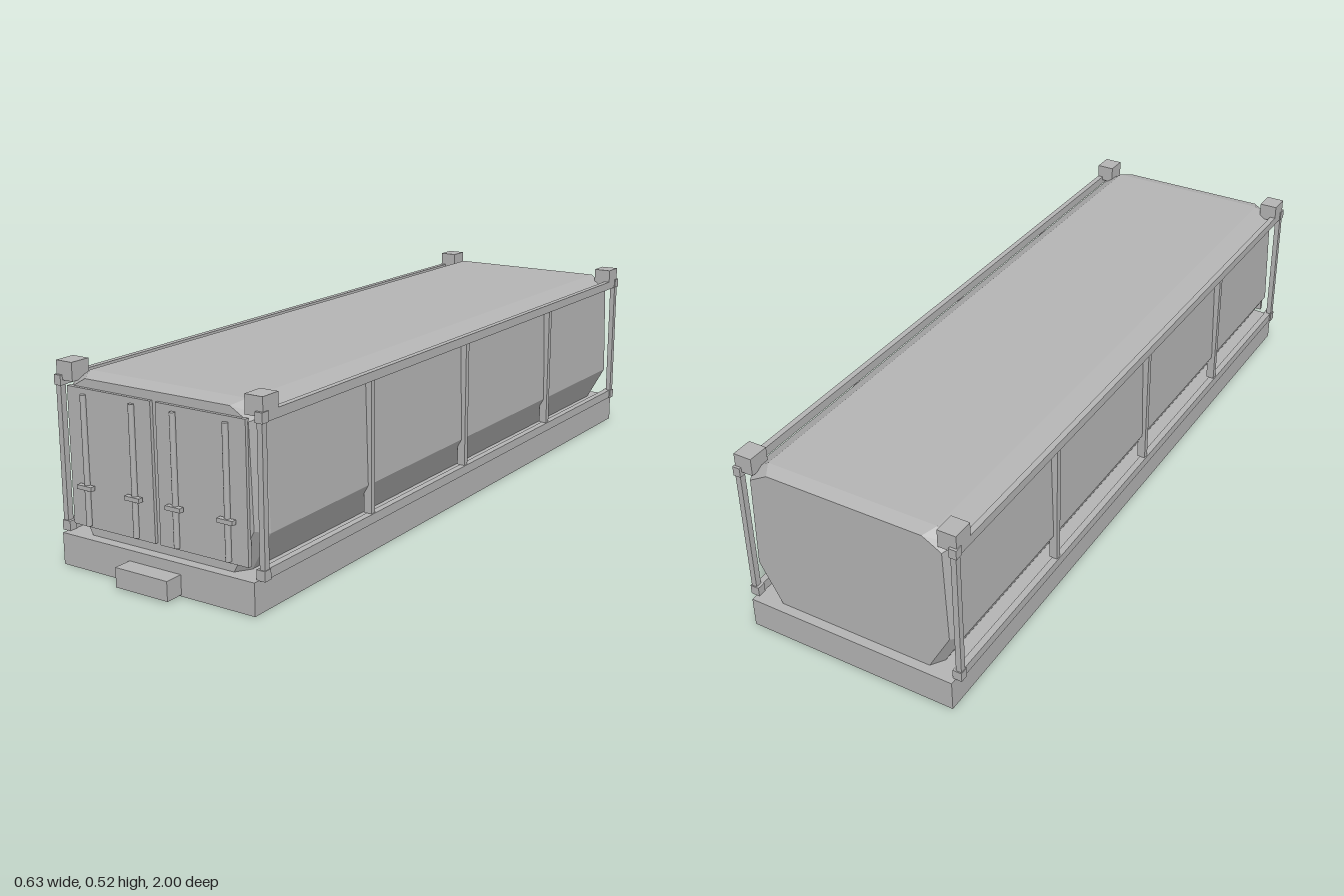
import * as THREE from 'three';

const grey = new THREE.MeshStandardMaterial({ color: 0xb3b3b3 });
grey.name = 'plain grey';

// Box given by its lower and upper limits on each axis
function block(parent, name, [x0, x1], [y0, y1], [z0, z1]) {
  const mesh = new THREE.Mesh(new THREE.BoxGeometry(x1 - x0, y1 - y0, z1 - z0), grey);
  mesh.position.set((x0 + x1) / 2, (y0 + y1) / 2, (z0 + z1) / 2);
  mesh.name = name;
  parent.add(mesh);
}

// The same box on both sides of x = 0
function pair(parent, name, [x0, x1], y, z) {
  block(parent, name + 'Left', [x0, x1], y, z);
  block(parent, name + 'Right', [-x1, -x0], y, z);
}

// Right half of an outline, from bottom to top, mirrored into a closed loop
function mirrorLoop(half) {
  return [...half, ...half.map(([x, y]) => [-x, y]).reverse()];
}

// Flat-faced solid running through loops placed along z, capped at both ends
function loft(sections) {
  const pos = [];
  const n = sections[0].loop.length;
  const put = (s, i) => pos.push(...s.loop[i % n], s.z);
  for (let k = 0; k < sections.length - 1; k++) {
    const a = sections[k], b = sections[k + 1];
    for (let i = 0; i < n; i++) {
      put(a, i); put(a, i + 1); put(b, i + 1);
      put(a, i); put(b, i + 1); put(b, i);
    }
  }
  const back = sections[0], front = sections[sections.length - 1];
  for (let i = 1; i < n - 1; i++) {
    put(back, 0); put(back, i + 1); put(back, i);
    put(front, 0); put(front, i); put(front, i + 1);
  }
  const geometry = new THREE.BufferGeometry();
  geometry.setAttribute('position', new THREE.Float32BufferAttribute(pos, 3));
  geometry.computeVertexNormals();
  return geometry;
}

export function createModel() {
  const model = new THREE.Group();
  model.name = 'cargoContainer';

  // Base slab and front step
  block(model, 'base', [-0.298, 0.298], [0, 0.083], [-1, 0.95]);
  block(model, 'frontStep', [-0.08, 0.08], [0.004, 0.055], [0.95, 1]);

  // Body with cut corners and bevelled ends
  const outer = mirrorLoop([[0.243, 0.083], [0.298, 0.182], [0.29, 0.46], [0.24, 0.493]]);
  const inner = mirrorLoop([[0.22, 0.084], [0.281, 0.195], [0.272, 0.452], [0.22, 0.482]]);
  const body = new THREE.Mesh(loft([
    { z: -0.975, loop: inner }, { z: -0.94, loop: outer },
    { z: 0.885, loop: outer }, { z: 0.925, loop: inner },
  ]), grey);
  body.name = 'body';
  model.add(body);

  // Front doors with lock rods and handles
  const doors = new THREE.Group();
  doors.name = 'doors';
  model.add(doors);
  block(doors, 'doorRight', [-0.272, -0.009], [0.108, 0.46], [0.922, 0.934]);
  block(doors, 'doorLeft', [0.007, 0.27], [0.108, 0.46], [0.922, 0.934]);
  for (const x of [-0.217, -0.064, 0.062, 0.216]) {
    const rod = new THREE.Mesh(new THREE.CylinderGeometry(0.0075, 0.0075, 0.332, 12), grey);
    rod.name = 'lockRod';
    rod.position.set(x, 0.28, 0.939);
    doors.add(rod);
    block(doors, 'handle', [x - 0.023, x + 0.023], [0.208, 0.219], [0.937, 0.951]);
  }

  // Side frame: rails, ribs, posts and corner blocks
  const frame = new THREE.Group();
  frame.name = 'frame';
  model.add(frame);
  pair(frame, 'topRail', [0.297, 0.313], [0.455, 0.479], [-0.975, 0.925]);
  pair(frame, 'bottomRail', [0.293, 0.311], [0.083, 0.108], [-0.975, 0.925]);
  for (const z of [0.472, 0, -0.505]) {
    pair(frame, 'sideRib', [0.285, 0.308], [0.108, 0.455], [z - 0.008, z + 0.008]);
  }
  for (const [z0, z1] of [[0.909, 0.932], [-0.982, -0.959]]) {
    pair(frame, 'cornerPost', [0.298, 0.313], [0.1, 0.46], [z0 + 0.003, z1 - 0.003]);
    pair(frame, 'upperBlock', [0.295, 0.316], [0.455, 0.481], [z0, z1]);
    pair(frame, 'lowerBlock', [0.29, 0.315], [0.082, 0.108], [z0, z1]);
  }
  for (const z0 of [0.867, -0.975]) {
    pair(frame, 'cornerCasting', [0.262, 0.313], [0.468, 0.516], [z0, z0 + 0.058]);
  }
  return model;
}
